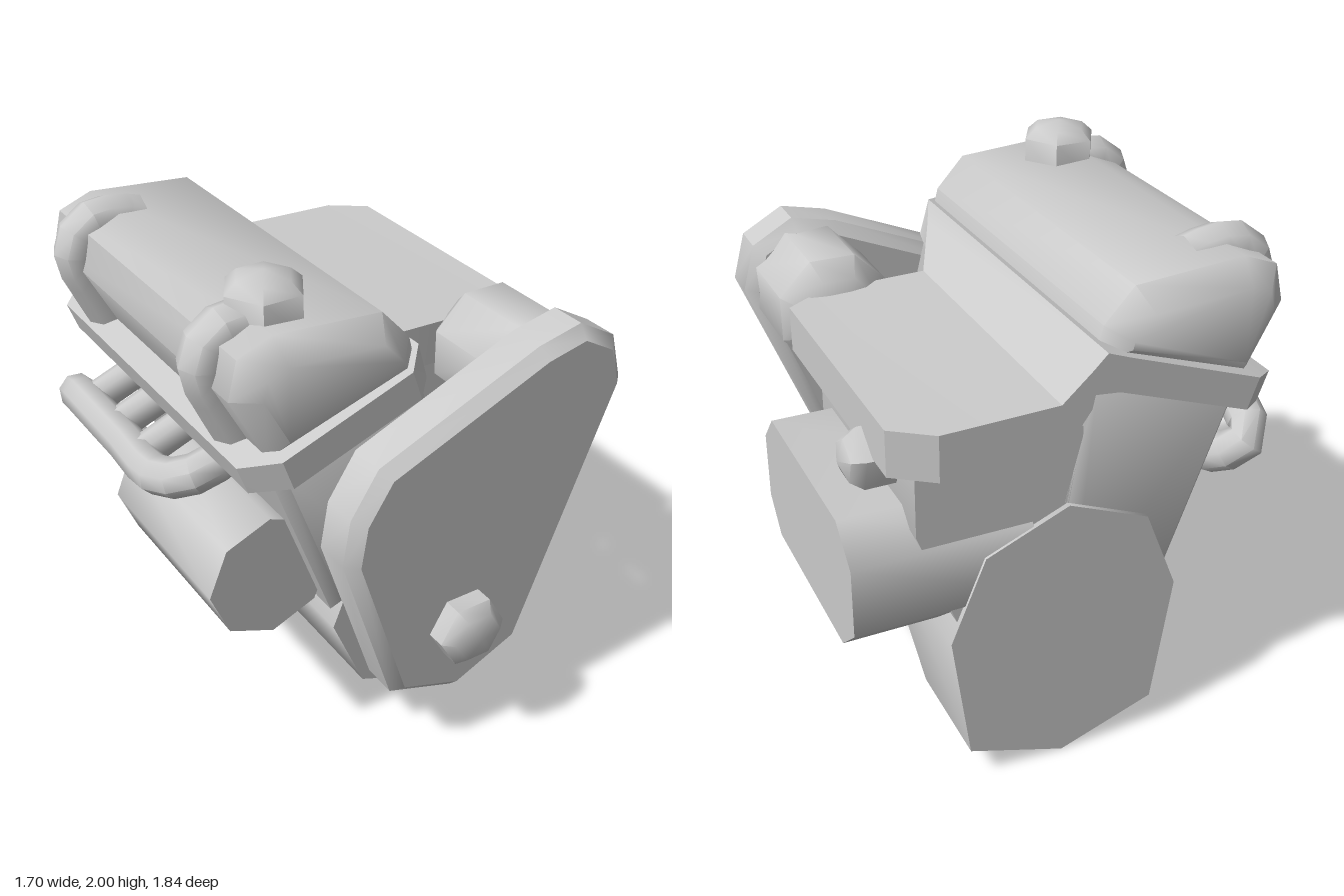
import * as THREE from 'three';
import { toCreasedNormals } from 'three/addons/utils/BufferGeometryUtils.js';

const material = new THREE.MeshStandardMaterial({ color: 0xcccccc });

export function createModel() {
  const engine = new THREE.Group();
  engine.name = 'engine';

  const add = (name, geometry, crease = 0.85) => {
    const mesh = new THREE.Mesh(toCreasedNormals(geometry, crease), material);
    mesh.name = name;
    engine.add(mesh);
    return mesh;
  };

  // Skin over equal-sized cross-sections, closed at both ends
  const loft = (loops) => {
    const n = loops[0].length, index = [];
    for (let i = 0; i < loops.length - 1; i++) {
      for (let j = 0; j < n; j++) {
        const a = i * n + j, b = i * n + (j + 1) % n;
        index.push(a, b, b + n, a, b + n, a + n);
      }
    }
    const last = (loops.length - 1) * n;
    for (let j = 1; j < n - 1; j++) {
      index.push(0, j + 1, j, last, last + j, last + j + 1);
    }
    const g = new THREE.BufferGeometry();
    g.setAttribute('position', new THREE.Float32BufferAttribute(loops.flat(2), 3));
    g.setIndex(index);
    return g;
  };

  // Front outline pulled along z, with chamfered ends
  const prism = (points, z0, z1, bevel = 0) => {
    const shape = new THREE.Shape(points.map(([x, y]) => new THREE.Vector2(x, y)));
    return new THREE.ExtrudeGeometry(shape, {
      depth: z1 - z0 - 2 * bevel, bevelEnabled: bevel > 0, bevelSegments: 1,
      bevelSize: bevel, bevelThickness: bevel, bevelOffset: -bevel,
    }).translate(0, 0, z0 + bevel);
  };

  // Upright faceted stud with a low domed end
  const stud = (r, h, dome, sides) => new THREE.LatheGeometry([
    [0, 0], [r, 0], [r, h - dome], [r * 0.7, h - dome * 0.35], [0, h],
  ].map(([x, y]) => new THREE.Vector2(x, y)), sides);

  const pipe = (points, r, steps = 10) => {
    const curve = new THREE.CatmullRomCurve3(points.map((p) => new THREE.Vector3(...p)), false, 'centripetal');
    const tube = new THREE.TubeGeometry(curve, steps, r, 8);
    return tube;
  };

  // Crankcase, octagonal, deepening into the bell housing at the rear
  const crankSection = (z, drop) => [
    [0.07, 0.2 - 0.2 * drop], [0.38 + 0.06 * drop, 0.33 - 0.2 * drop], [0.51, 0.64], [0.38, 0.96],
    [0.07, 1.09], [-0.24, 0.96], [-0.37, 0.64], [-0.24 - 0.06 * drop, 0.33 - 0.2 * drop],
  ].map(([x, y]) => [x, y, z]);
  add('crankcase', loft([
    crankSection(-0.85, 1), crankSection(-0.42, 1), crankSection(-0.15, 0), crankSection(0.61, 0),
  ]));

  // Two cylinder banks rising from the crankcase
  add('leftLeaningBank', prism([
    [0.07, 0.62], [0.12, 1.1], [0, 1.58], [-0.6, 1.37], [-0.35, 0.68],
  ], -0.83, 0.6, 0.04));
  add('uprightBank', prism([
    [0.07, 0.62], [0.46, 0.66], [0.62, 1.1], [0.62, 1.38], [0.02, 1.38], [0.02, 1.0],
  ], -0.83, 0.11));

  // Deck plate: sloped over one bank, stepping down to level over the other
  // [x top, y top, x bottom, y bottom, z back, z front]
  const deck = [
    [-0.71, 1.42, -0.67, 1.31, -0.82, 0.56],
    [-0.6, 1.465, -0.56, 1.35, -0.92, 0.67],
    [-0.1, 1.645, -0.06, 1.53, -0.92, 0.67],
    [-0.01, 1.68, 0.03, 1.54, -0.92, 0.57],
    [0.04, 1.63, 0.04, 1.49, -0.92, 0.46],
    [0.15, 1.53, 0.13, 1.36, -0.92, 0.24],
    [0.57, 1.52, 0.57, 1.35, -0.92, 0.24],
    [0.71, 1.52, 0.71, 1.35, -0.82, 0.15],
  ];
  add('deckPlate', loft(deck.map(([xt, yt, xb, yb, zb, zf]) => [
    [xb, yb, zf], [xb, yb, zb], [xt, yt, zb], [xt, yt, zf],
  ])), 0.6);

  // Rocker cover
  add('rockerCover', prism([
    [-0.6, 1.42], [-0.02, 1.6], [-0.05, 1.72], [-0.16, 1.84], [-0.57, 1.87], [-0.7, 1.82], [-0.735, 1.68],
  ], -0.89, 0.65, 0.08), 0.9);

  // Elbows over the side of the rocker cover
  for (const z of [0.38, -0.625]) {
    add('coverElbow', pipe([
      [-0.47, 1.8, z], [-0.57, 1.825, z], [-0.67, 1.81, z], [-0.715, 1.73, z], [-0.66, 1.58, z], [-0.6, 1.45, z],
    ], 0.095));
  }

  // Oil filler cap
  add('fillerCap', stud(0.145, 0.2, 0.06, 6).rotateY(Math.PI / 2).translate(-0.49, 1.8, 0.38));

  // Timing cover and crank nut on the front
  add('timingCover', prism([
    [-0.42, 1.02], [-0.21, 0.36], [0.07, 0.26], [0.36, 0.39], [0.76, 1.41],
    [0.71, 1.59], [0.55, 1.68], [0.37, 1.64], [-0.28, 1.37], [-0.39, 1.2],
  ], 0.56, 0.79, 0.045), 0.7);
  add('crankNut', stud(0.14, 0.17, 0.06, 6).rotateY(Math.PI / 2).rotateX(Math.PI / 2).translate(0.07, 0.6, 0.75));

  // Pump behind the timing cover
  add('pump', stud(0.228, 0.45, 0.11, 8).rotateY(Math.PI / 8).rotateX(-Math.PI / 2).translate(0.5, 1.42, 0.61));

  // Intake box on the side, chamfered
  const intake = [
    [0.66, 0], [0.66, -0.71], [0.78, -0.84], [1.04, -0.84],
    [1.16, -0.71], [1.16, 0], [1.04, 0.11], [0.78, 0.11],
  ];
  add('intakeBox', loft([0.2, 0.85].map((x) => intake.map(([y, z]) => [x, y, z]))));

  // Side sensor
  add('sensor', stud(0.112, 0.3, 0.07, 5).rotateY(-Math.PI / 2).rotateZ(-Math.PI / 2).translate(0.5, 1.31, -0.6));

  // Exhaust canister, pipe and runners
  add('exhaustCanister', new THREE.CylinderGeometry(0.245, 0.245, 0.75, 8)
    .rotateX(Math.PI / 2).translate(-0.56, 0.885, 0.13));
  add('exhaustPipe', pipe([
    [-0.46, 1.27, 0.2], [-0.68, 1.19, 0.2], [-0.77, 1.15, 0.1], [-0.775, 1.145, -0.2],
    [-0.775, 1.145, -0.6], [-0.74, 1.08, -0.7], [-0.66, 0.99, -0.62], [-0.6, 0.92, -0.2],
  ], 0.075, 22));
  for (const z of [-0.08, -0.3, -0.52]) {
    add('exhaustRunner', pipe([[-0.45, 1.27, z], [-0.77, 1.145, z]], 0.065, 1));
  }

  return engine;
}
